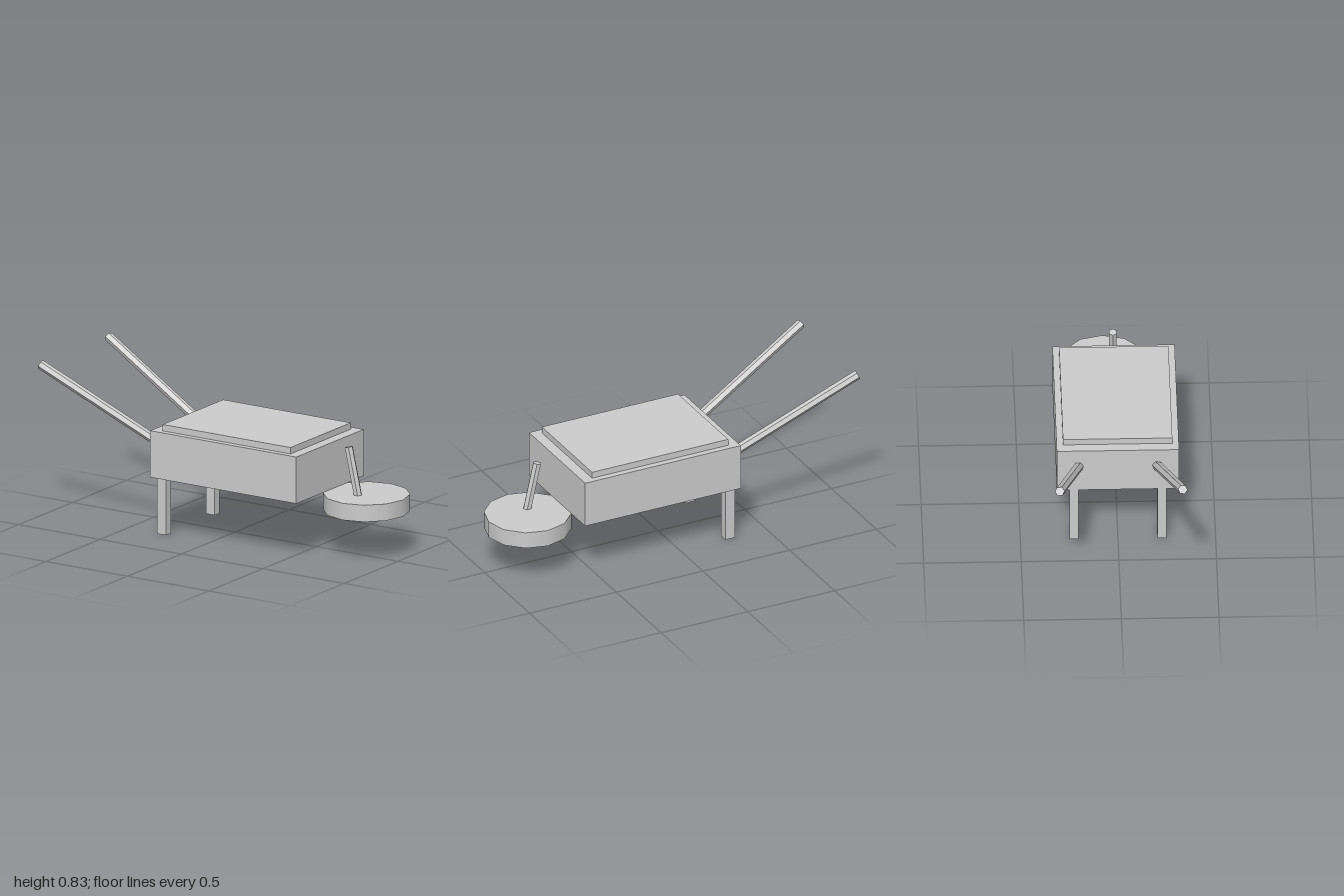
import * as THREE from 'three';

export function createModel() {
  const model = new THREE.Group();
  model.name = 'wheelbarrow';

  const grey = new THREE.MeshStandardMaterial({ color: 0xcccccc });
  grey.name = 'plain grey';

  function add(name, geometry) {
    const mesh = new THREE.Mesh(geometry, grey);
    mesh.name = name;
    model.add(mesh);
    return mesh;
  }

  // Box given by its extents on each axis
  function box(name, [x0, x1], [y0, y1], [z0, z1]) {
    add(name, new THREE.BoxGeometry(x1 - x0, y1 - y0, z1 - z0))
      .position.set((x0 + x1) / 2, (y0 + y1) / 2, (z0 + z1) / 2);
  }

  // Six-sided faceted rod between two points, with an optional twist
  function rod(name, from, to, radius, twist = 0) {
    const a = new THREE.Vector3(...from);
    const b = new THREE.Vector3(...to);
    const axis = b.clone().sub(a);
    const geometry = new THREE.CylinderGeometry(radius, radius, axis.length(), 6).rotateY(twist).toNonIndexed();
    geometry.computeVertexNormals();
    const mesh = add(name, geometry);
    mesh.quaternion.setFromUnitVectors(new THREE.Vector3(0, 1, 0), axis.normalize());
    mesh.position.copy(a.add(b).multiplyScalar(0.5));
  }

  // Tray and the raised slab on top of it
  box('tray', [-0.315, 0.582], [0.315, 0.563], [-0.313, 0.313]);
  box('traySlab', [-0.26, 0.525], [0.563, 0.597], [-0.28, 0.28]);

  // Legs and splayed handles, mirrored front to back
  for (const [side, s] of [['front', 1], ['back', -1]]) {
    const z = [0.202 * s, 0.248 * s].sort((a, b) => a - b);
    box(side + 'Leg', [-0.315, -0.26], [0, 0.315], z);
    rod(side + 'Handle', [-0.28, 0.445, 0.195 * s], [-0.988, 0.812, 0.315 * s], 0.025);
  }

  // Flat-lying wheel with its leaning axle
  add('wheel', new THREE.CylinderGeometry(0.224, 0.224, 0.089, 12)).position.set(0.776, 0.271, -0.046);
  rod('axle', [0.773, 0.226, 0], [0.697, 0.562, 0], 0.0225, Math.PI / 6);

  return model;
}
